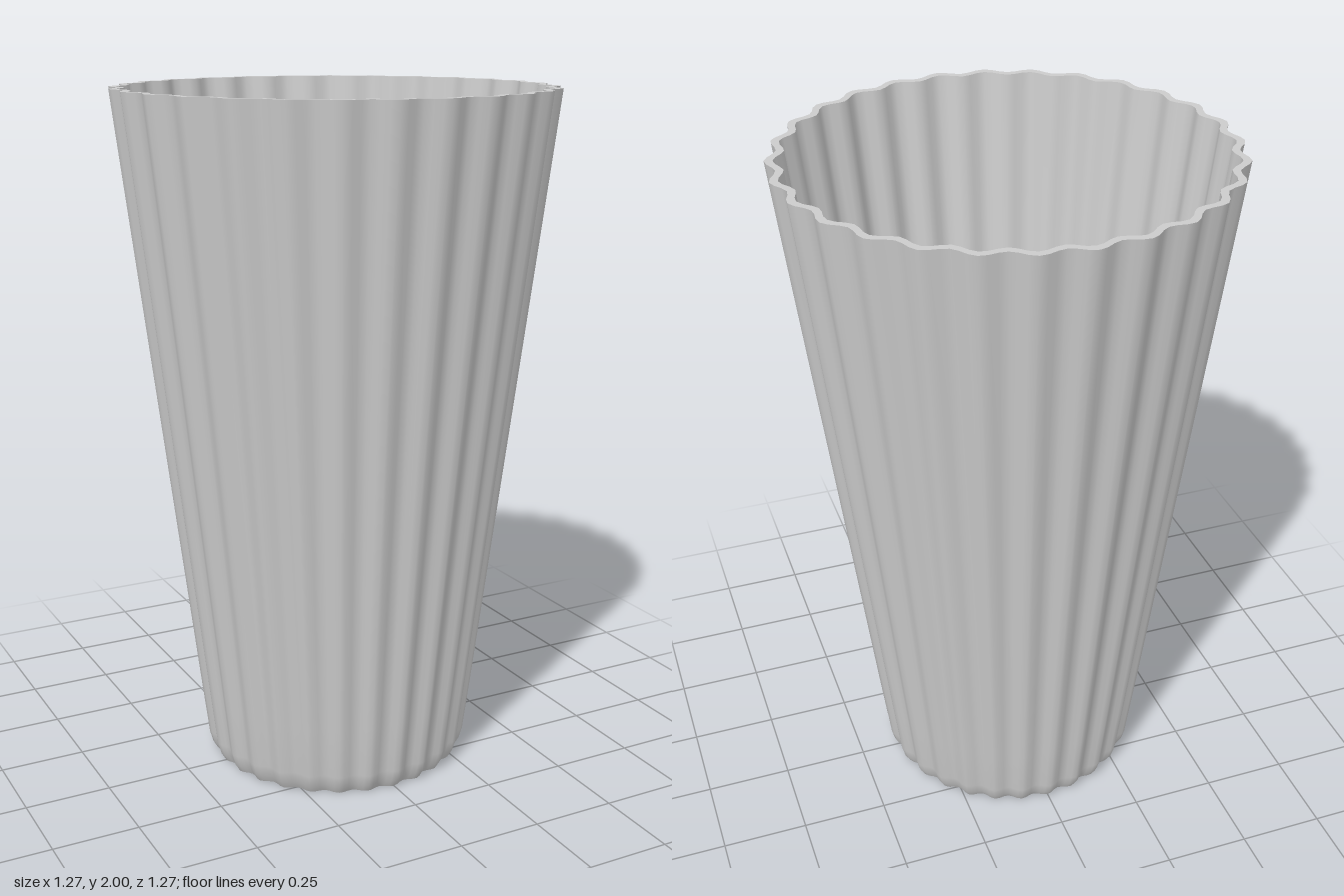
import * as THREE from 'three';

const FLUTES = 28;
const STEPS = FLUTES * 6;
const DEPTH = 0.021; // half flute depth, as a share of the radius

// Fluted surface through rings [radius, height], ordered from the base centre
// up the outside, over the rim and down the inside.
function flutedSurface(name, rings) {
  const positions = [];
  const index = [];
  for (const [radius, y] of rings) {
    for (let j = 0; j < STEPS; j++) {
      const angle = (j / STEPS) * Math.PI * 2;
      const r = radius * (1 - DEPTH + DEPTH * Math.cos(FLUTES * angle));
      positions.push(r * Math.sin(angle), y, r * Math.cos(angle));
    }
  }
  for (let i = 0; i < rings.length - 1; i++) {
    for (let j = 0; j < STEPS; j++) {
      const k = (j + 1) % STEPS;
      const a = i * STEPS + j;
      const b = i * STEPS + k;
      const c = a + STEPS;
      const d = b + STEPS;
      if (rings[i][0] > 0) index.push(a, b, c);
      if (rings[i + 1][0] > 0) index.push(b, d, c);
    }
  }
  const geometry = new THREE.BufferGeometry();
  geometry.setAttribute('position', new THREE.Float32BufferAttribute(positions, 3));
  geometry.setIndex(index);
  geometry.computeVertexNormals();
  const mesh = new THREE.Mesh(geometry, new THREE.MeshStandardMaterial({ color: 0xcccccc }));
  mesh.name = name;
  return mesh;
}

export function createModel() {
  const cup = new THREE.Group();
  cup.name = 'flutedCup';
  cup.add(
    // Flat underside
    flutedSurface('base', [[0, 0], [0.375, 0]]),
    // Chamfered foot running into the tapered wall
    flutedSurface('outerWall', [[0.375, 0], [0.39, 0.025], [0.4, 0.06], [0.42, 0.22], [0.635, 2]]),
    // Thin lip
    flutedSurface('rim', [[0.635, 2], [0.612, 2]]),
    // Hollow inside, blending softly into the floor
    flutedSurface('innerWall', [[0.612, 2], [0.385, 0.09], [0.36, 0.045], [0.21, 0.035], [0, 0.035]])
  );
  return cup;
}
